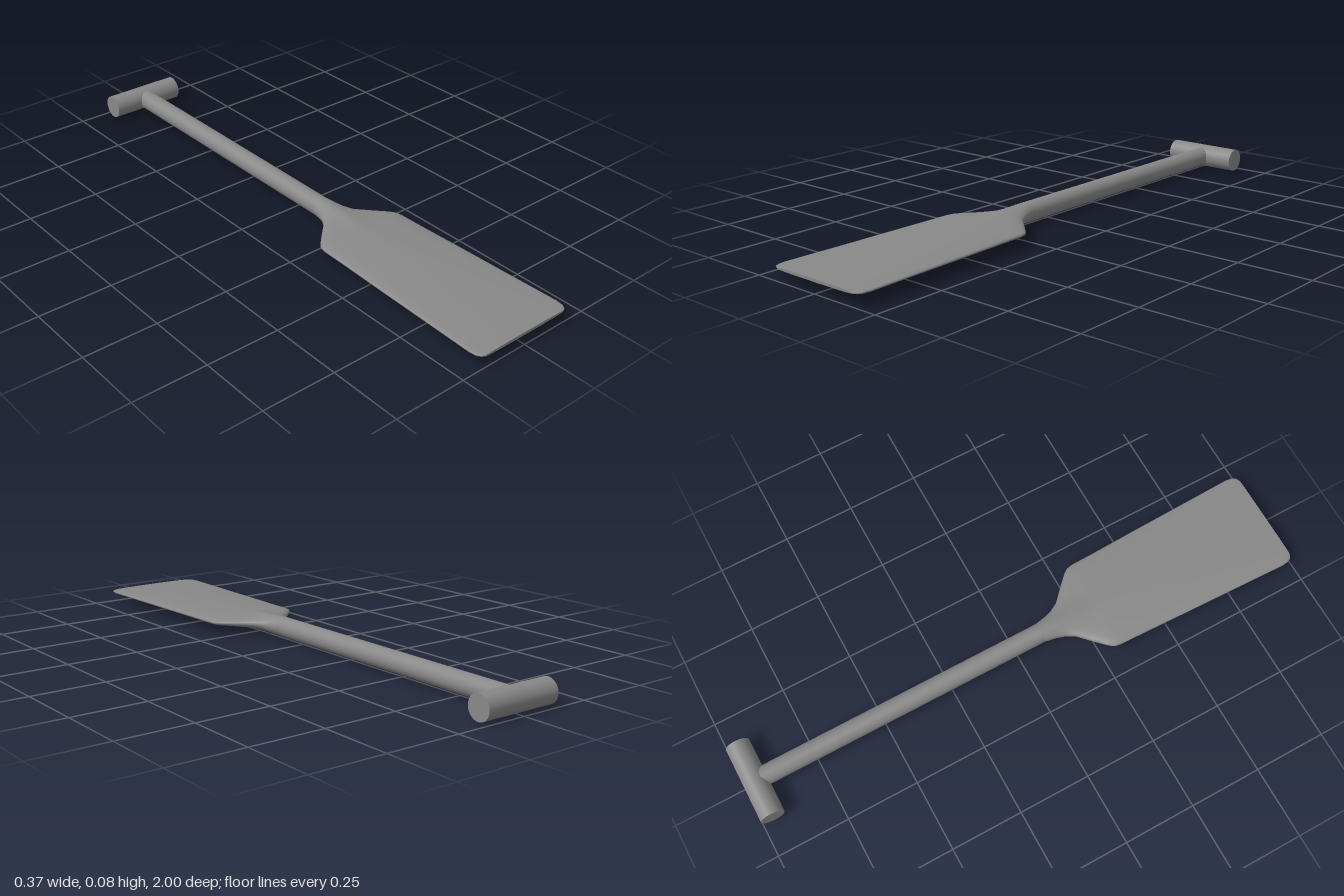
import * as THREE from 'three';

const AXIS_Y = 0.041;

// Blade stations: z, half width, half thickness, centre ridge height, edge bluntness
const STATIONS = [
  [0.10, 0.034, 0.034, 0.000, 1.00],
  [0.14, 0.042, 0.031, 0.002, 1.00],
  [0.17, 0.052, 0.026, 0.005, 1.00],
  [0.20, 0.069, 0.022, 0.008, 0.95],
  [0.24, 0.111, 0.020, 0.007, 0.90],
  [0.28, 0.151, 0.019, 0.005, 0.90],
  [0.297, 0.163, 0.0195, 0.004, 0.90],
  [0.32, 0.167, 0.020, 0.002, 0.90],
  [0.40, 0.169, 0.019, 0.001, 0.90],
  [0.60, 0.176, 0.015, 0.000, 0.80],
  [0.80, 0.182, 0.010, 0.000, 0.60],
  [0.955, 0.187, 0.0065, 0.000, 0.40],
  [0.98, 0.184, 0.006, 0.000, 0.40],
  [0.993, 0.176, 0.0055, 0.000, 0.40],
  [1.00, 0.162, 0.005, 0.000, 0.40],
];

// Loft of closed lens-shaped sections, with a flat tip
function bladeGeometry(segments = 48) {
  const pos = [];
  const index = [];
  const addRing = ([z, w, b, ridge, p]) => {
    for (let j = 0; j < segments; j++) {
      const a = (j / segments) * Math.PI * 2;
      const x = w * Math.cos(a);
      const s = Math.sin(a);
      const body = b * Math.pow(Math.abs(s), p);
      const spine = ridge * Math.abs(s) * Math.exp(-((x / 0.032) ** 2));
      pos.push(x, Math.sign(s) * (body + spine), z);
    }
  };
  STATIONS.forEach(addRing);
  for (let i = 0; i < STATIONS.length - 1; i++) {
    for (let j = 0; j < segments; j++) {
      const k = (j + 1) % segments;
      const a = i * segments + j, b = i * segments + k;
      const c = a + segments, d = b + segments;
      index.push(a, b, c, b, d, c);
    }
  }
  // Tip face has its own vertices so its edge stays sharp
  const tip = STATIONS[STATIONS.length - 1];
  const start = pos.length / 3;
  addRing(tip);
  pos.push(0, 0, tip[0]);
  for (let j = 0; j < segments; j++) {
    index.push(start + segments, start + j, start + ((j + 1) % segments));
  }
  const g = new THREE.BufferGeometry();
  g.setAttribute('position', new THREE.Float32BufferAttribute(pos, 3));
  g.setIndex(index);
  g.computeVertexNormals();
  return g;
}

export function createModel() {
  const group = new THREE.Group();
  group.name = 'paddle';
  const grey = new THREE.MeshStandardMaterial({ color: 0x888888 });
  grey.name = 'grey';

  const add = (name, geometry, z) => {
    const mesh = new THREE.Mesh(geometry, grey);
    mesh.name = name;
    mesh.position.set(0, AXIS_Y, z);
    group.add(mesh);
  };

  // Cross grip at the back end
  add('grip', new THREE.CylinderGeometry(0.041, 0.041, 0.274, 40).rotateZ(Math.PI / 2), -0.959);

  // Round shaft, running from inside the grip to the blade neck
  add('shaft', new THREE.CylinderGeometry(0.034, 0.034, 1.06, 48, 1, true).rotateX(Math.PI / 2), -0.43);

  // Flared blade
  add('blade', bladeGeometry(), 0);

  return group;
}
